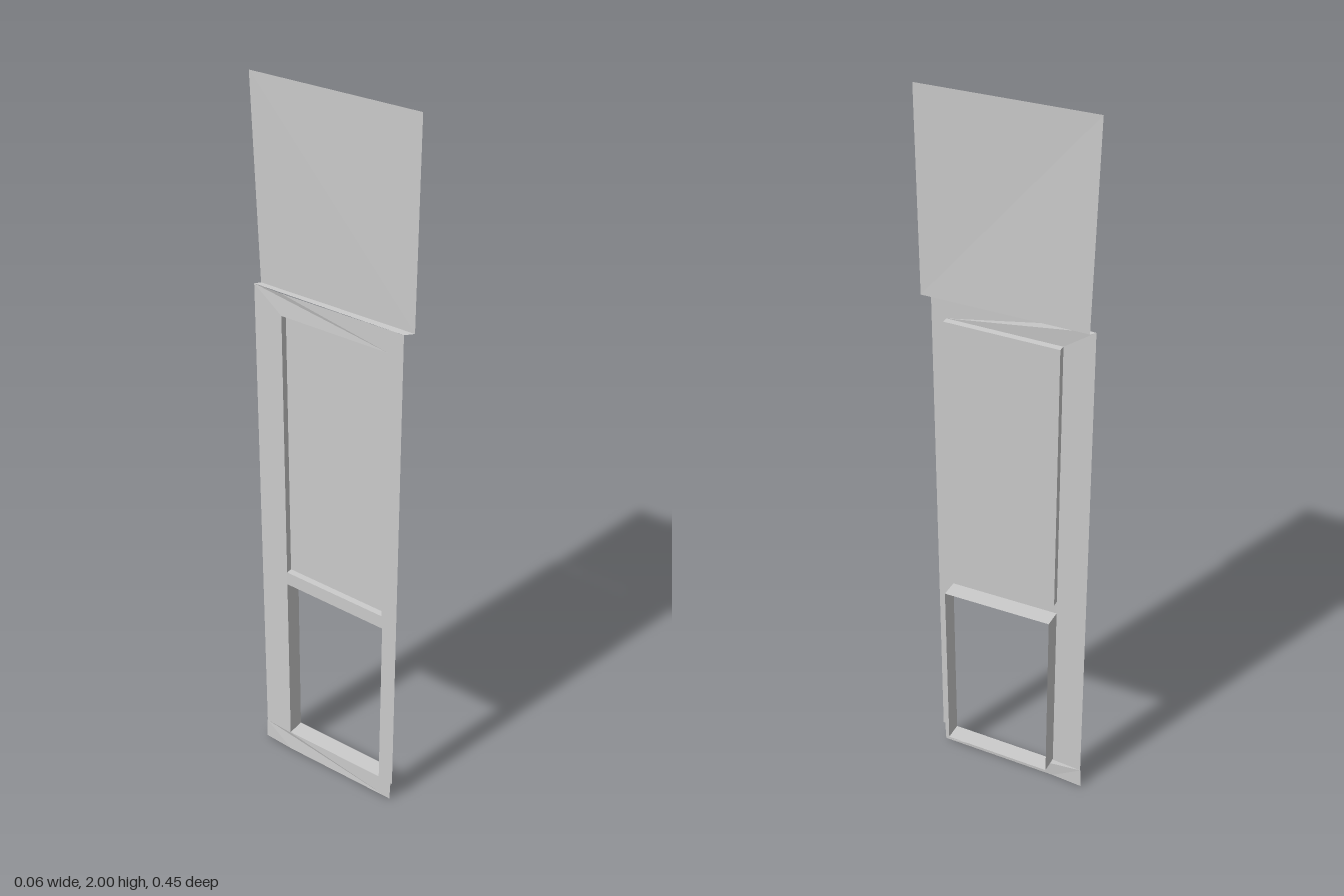
import * as THREE from 'three';

const material = new THREE.MeshStandardMaterial({ color: 0xcccccc, side: THREE.DoubleSide, flatShading: true });

// Depth of the slightly bowed wall sheet at a given z
const wallX = (z) => (z > -0.135 ? -0.02 - (0.207 - z) * 0.0234 : -0.028 - (z + 0.135) * 0.03);
// Depths of the raised panel and of the opening's outer rim
const panelX = (z) => -0.004 - (0.165 - z) * 0.0233;
const rimX = (z) => 0.027 - (0.165 - z) * 0.0233;

function addMesh(group, name, geometry) {
  geometry.computeVertexNormals();
  const mesh = new THREE.Mesh(geometry, material);
  mesh.name = name;
  group.add(mesh);
}

// Sheet spanned between two equally long rows of [x, y, z] points
function strip(rowA, rowB) {
  const p = [];
  for (let i = 0; i < rowA.length - 1; i++) {
    const [a, b, c, d] = [rowA[i], rowA[i + 1], rowB[i + 1], rowB[i]];
    p.push(...a, ...b, ...c, ...a, ...c, ...d);
  }
  return new THREE.BufferGeometry().setAttribute('position', new THREE.Float32BufferAttribute(p, 3));
}

// Flat outline of [z, y] points turned to face +x, then bent to depth rule x(z)
function sheet(outline, holes, depth) {
  const toPoints = (list) => list.map(([z, y]) => new THREE.Vector2(-z, y));
  const shape = new THREE.Shape(toPoints(outline));
  shape.holes = holes.map((h) => new THREE.Path(toPoints(h)));
  const geometry = new THREE.ShapeGeometry(shape).rotateY(Math.PI / 2);
  const pos = geometry.attributes.position;
  for (let i = 0; i < pos.count; i++) pos.setX(i, depth(pos.getZ(i)));
  return geometry;
}

// Four side walls running out from the wall around an outline
function reveal(outline, depth) {
  const loop = [...outline, outline[0]];
  return strip(
    loop.map(([z, y]) => [wallX(z), y, z]),
    loop.map(([z, y]) => [depth(z), y, z]),
  );
}

export function createModel() {
  const group = new THREE.Group();
  group.name = 'wallSection';

  const opening = [[0.168, 0.065], [-0.135, 0.065], [-0.135, 0.608], [0.168, 0.602]];
  const panel = [[0.165, 0.642], [-0.135, 0.648], [-0.135, 1.42], [0.168, 1.42]];

  // Main wall with the window opening and the cut-out behind the raised panel
  const wall = [[0.212, 0.062], [-0.135, 0.062], [-0.221, 0.062], [-0.217, 1.48], [-0.135, 1.48], [0.208, 1.48]];
  addMesh(group, 'wall', sheet(wall, [opening, panel], wallX));

  // Base strip
  const base = [[0.205, 0], [-0.135, 0], [-0.225, 0], [-0.222, 0.062], [-0.135, 0.062], [0.207, 0.062]];
  addMesh(group, 'baseStrip', sheet(base, [], wallX));

  // Deep open frame around the window
  addMesh(group, 'windowReveal', reveal(opening, rimX));

  // Raised panel: face and edges
  addMesh(group, 'panelFace', sheet(panel, [], panelX));
  addMesh(group, 'panelEdges', reveal(panel, panelX));

  // Upper board, leaning back at one side, and the ledge beneath it
  const lower = [[-0.001, 1.48, 0.225], [-0.012, 1.48, -0.207]];
  const upper = [[-0.002, 2, 0.227], [-0.022, 2, -0.215]];
  addMesh(group, 'upperBoard', strip(lower, upper));
  const wallTop = [0.208, -0.217].map((z) => [wallX(z), 1.48, z]);
  addMesh(group, 'ledge', strip(wallTop, lower));

  return group;
}
